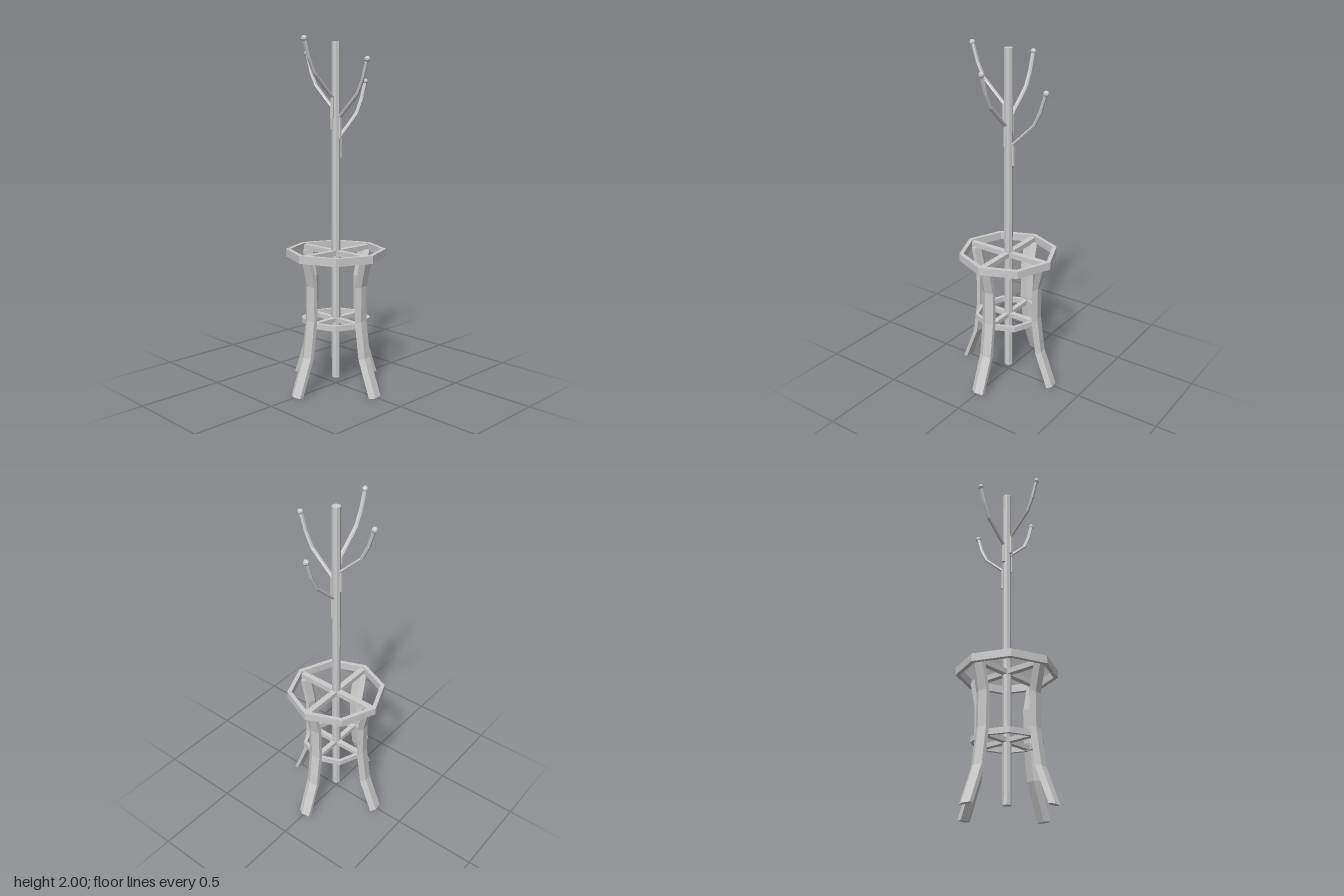
import * as THREE from 'three';

const mat = new THREE.MeshStandardMaterial({ color: 0xcccccc, flatShading: true });

function add(parent, name, geo, y = 0) {
  const m = new THREE.Mesh(geo, mat);
  m.name = name;
  m.position.y = y;
  parent.add(m);
  return m;
}

// Loft an elliptical n-gon along a path in the x-y plane; level keeps sections horizontal
function loft(path, sides, rIn, rSide, level) {
  const pos = [], idx = [], last = path.length - 1;
  path.forEach(([x, y], i) => {
    const a = path[Math.max(i - 1, 0)], b = path[Math.min(i + 1, last)];
    const t = new THREE.Vector2(b[0] - a[0], b[1] - a[1]).normalize();
    const nx = level ? 1 : t.y, ny = level ? 0 : -t.x;
    for (let k = 0; k < sides; k++) {
      const ang = (k / sides) * Math.PI * 2, s = Math.sin(ang) * rIn;
      pos.push(x + nx * s, y + ny * s, Math.cos(ang) * rSide);
    }
  });
  for (let i = 0; i < last; i++) {
    for (let k = 0; k < sides; k++) {
      const a = i * sides + k, b = i * sides + (k + 1) % sides;
      idx.push(a, b, b + sides, a, b + sides, a + sides);
    }
  }
  for (let k = 1; k < sides - 1; k++) {
    const e = last * sides;
    idx.push(0, k + 1, k, e, e + k, e + k + 1);
  }
  const g = new THREE.BufferGeometry();
  g.setAttribute('position', new THREE.Float32BufferAttribute(pos, 3));
  g.setIndex(idx);
  const flat = g.toNonIndexed();
  flat.computeVertexNormals();
  return flat;
}

// Octagonal hoop with a square section
function hoop(outer, inner, height) {
  const ring = r => Array.from({ length: 8 }, (_, i) =>
    new THREE.Vector2(r * Math.cos(i * Math.PI / 4), r * Math.sin(i * Math.PI / 4)));
  const shape = new THREE.Shape(ring(outer));
  shape.holes.push(new THREE.Path(ring(inner)));
  return new THREE.ExtrudeGeometry(shape, { depth: height, bevelEnabled: false }).rotateX(-Math.PI / 2);
}

export function createModel() {
  const model = new THREE.Group();
  model.name = 'coatStand';

  // Central pole
  add(model, 'pole', new THREE.CylinderGeometry(0.025, 0.025, 1.94, 8), 1.01);

  // Upper and lower hoops
  add(model, 'upperRing', hoop(0.288, 0.263, 0.045), 0.765);
  add(model, 'lowerRing', hoop(0.2, 0.18, 0.032), 0.375);

  const legPath = [[0.309, 0], [0.226, 0.21], [0.197, 0.42], [0.197, 0.62], [0.232, 0.775]];
  const armPath = [[0.031, 0], [0.031, 0.12], [0.165, 0.245], [0.205, 0.325], [0.238, 0.43]];
  const armHeights = [1.445, 1.555, 1.495, 1.335];
  const sideNames = ['left', 'front', 'right', 'back'];

  // Each quarter carries a leg, two spokes and a hook arm
  sideNames.forEach((side, i) => {
    const q = new THREE.Group();
    q.name = side + 'Quarter';
    q.rotation.y = -i * Math.PI / 2;
    add(q, side + 'Leg', loft(legPath, 5, 0.02, 0.046, true));
    add(q, side + 'UpperSpoke', new THREE.BoxGeometry(0.26, 0.03, 0.034), 0.787).position.x = 0.14;
    add(q, side + 'LowerSpoke', new THREE.BoxGeometry(0.18, 0.026, 0.03), 0.39).position.x = 0.1;

    const arm = new THREE.Group();
    arm.name = side + 'HookArm';
    arm.position.y = armHeights[i];
    add(arm, 'hook', loft(armPath, 6, 0.01, 0.012, false));
    add(arm, 'hookKnob', new THREE.SphereGeometry(0.017, 7, 5), 0.43).position.x = 0.239;
    q.add(arm);
    model.add(q);
  });

  return model;
}
